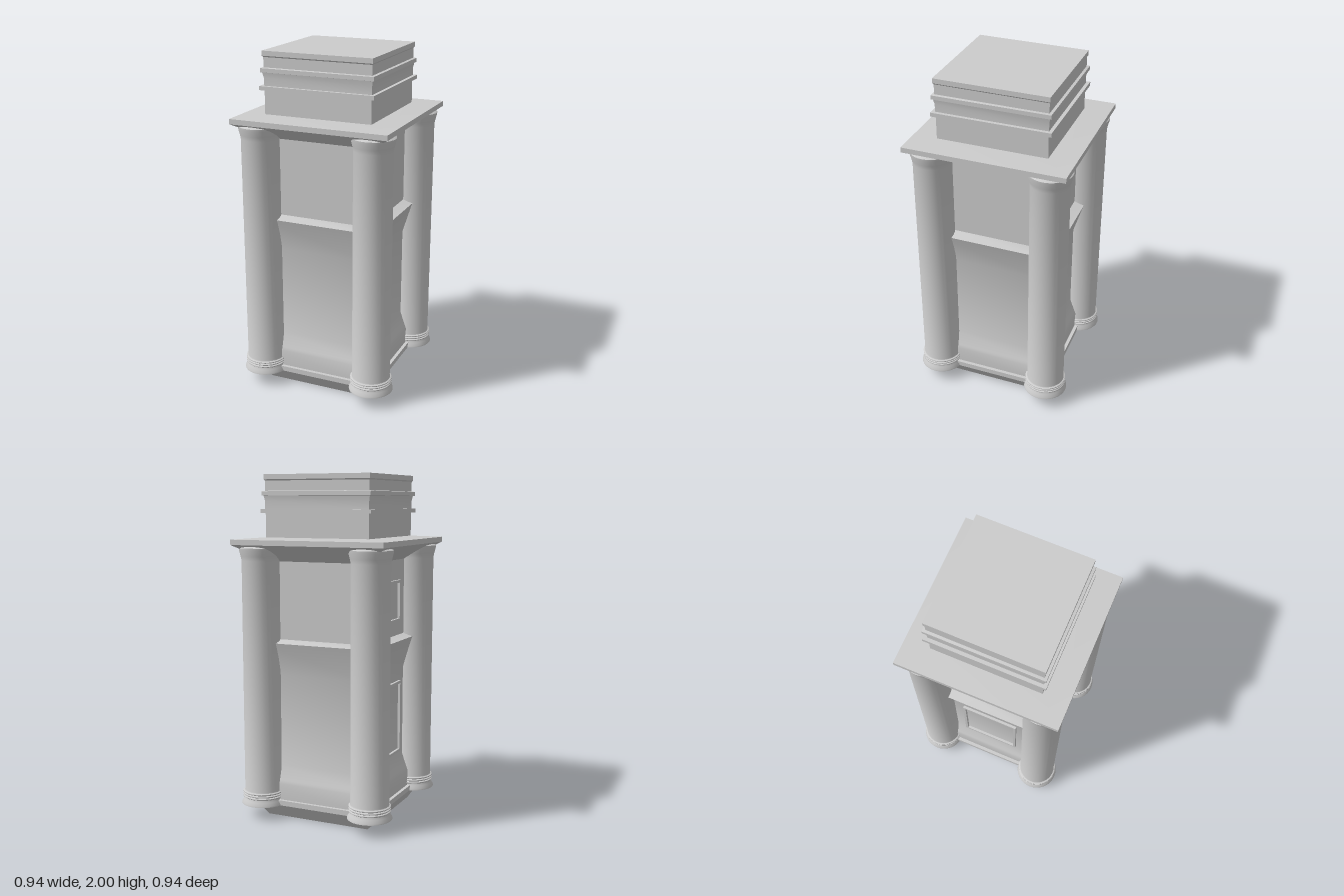
import * as THREE from 'three';
import { toCreasedNormals } from 'three/addons/utils/BufferGeometryUtils.js';

const material = new THREE.MeshStandardMaterial({ color: 0xcccccc });

function addMesh(parent, name, geometry) {
  const mesh = new THREE.Mesh(geometry, material);
  mesh.name = name;
  parent.add(mesh);
  return mesh;
}

// Closed solid swept around y from [radius, height] pairs listed bottom to top
function turned(profile, segments, phiStart = 0) {
  const points = [[0, profile[0][1]], ...profile, [0, profile[profile.length - 1][1]]]
    .map(([r, y]) => new THREE.Vector2(r, y));
  return toCreasedNormals(new THREE.LatheGeometry(points, segments, phiStart), 0.5);
}

// Square solid from [half width, height] pairs
function squareStack(profile) {
  const corners = profile.map(([h, y]) => [h * Math.SQRT2, y]);
  return turned(corners, 4, Math.PI / 4);
}

// Raised rectangular moulding facing outward on the -x wall
function panelFrame(width, bottom, top) {
  const w = width / 2, border = 0.016;
  const shape = new THREE.Shape();
  shape.moveTo(-w, bottom).lineTo(w, bottom).lineTo(w, top).lineTo(-w, top).closePath();
  const hole = new THREE.Path();
  const iw = w - border, ib = bottom + border, it = top - border;
  hole.moveTo(-iw, ib).lineTo(-iw, it).lineTo(iw, it).lineTo(iw, ib).closePath();
  shape.holes.push(hole);
  const geometry = new THREE.ExtrudeGeometry(shape, { depth: 0.025, bevelEnabled: false });
  geometry.rotateY(-Math.PI / 2);
  geometry.translate(-0.3, 0, 0);
  return geometry;
}

export function createModel() {
  const model = new THREE.Group();
  model.name = 'squareTower';

  // Plinth tapering towards the ground
  addMesh(model, 'plinth', squareStack([[0.32, 0], [0.37, 0.08], [0.37, 0.11], [0.35, 0.11]]));

  // Tower body: moulded skirting, shaft and flared ledge
  addMesh(model, 'body', squareStack([
    [0.35, 0.1], [0.35, 0.205], [0.342, 0.228], [0.31, 0.31], [0.31, 0.85],
    [0.37, 1.043], [0.31, 1.06], [0.31, 1.52],
  ]));

  // Cornice with sloping underside and a slightly pitched top
  addMesh(model, 'cornice', squareStack([
    [0.31, 1.51], [0.468, 1.605], [0.468, 1.635], [0.32, 1.645],
  ]));

  // Upper block with its moulded bands
  addMesh(model, 'upperBlock', squareStack([
    [0.32, 1.64], [0.32, 1.783], [0.342, 1.783], [0.342, 1.806], [0.322, 1.806],
    [0.322, 1.85], [0.328, 1.88], [0.337, 1.882], [0.337, 1.905], [0.322, 1.908],
    [0.322, 1.965], [0.328, 1.972], [0.328, 2],
  ]));

  // Corner columns: flared foot, three rings, shaft and flared capital
  const columnProfile = [[0.129, 0.08], [0.128, 0.088], [0.117, 0.105], [0.112, 0.118]];
  for (let i = 0; i < 3; i++) {
    const y = 0.12 + i * 0.014;
    columnProfile.push([0.117, y], [0.121, y + 0.003], [0.121, y + 0.008], [0.117, y + 0.011], [0.112, y + 0.012]);
  }
  columnProfile.push(
    [0.11, 0.165], [0.11, 1.515], [0.115, 1.54], [0.124, 1.575], [0.125, 1.587],
    [0.115, 1.594], [0.09, 1.603], [0.06, 1.607],
  );
  const columnGeometry = turned(columnProfile, 32);
  for (const [x, xName] of [[1, 'Left'], [-1, 'Right']]) {
    for (const [z, zName] of [[1, 'front'], [-1, 'back']]) {
      addMesh(model, `${zName}${xName}Column`, columnGeometry)
        .position.set(x * 0.343, 0, z * 0.343);
    }
  }

  // Framed panels on the right wall
  addMesh(model, 'lowerPanelFrame', panelFrame(0.35, 0.34, 0.78));
  addMesh(model, 'upperPanelFrame', panelFrame(0.31, 1.145, 1.39));

  return model;
}
